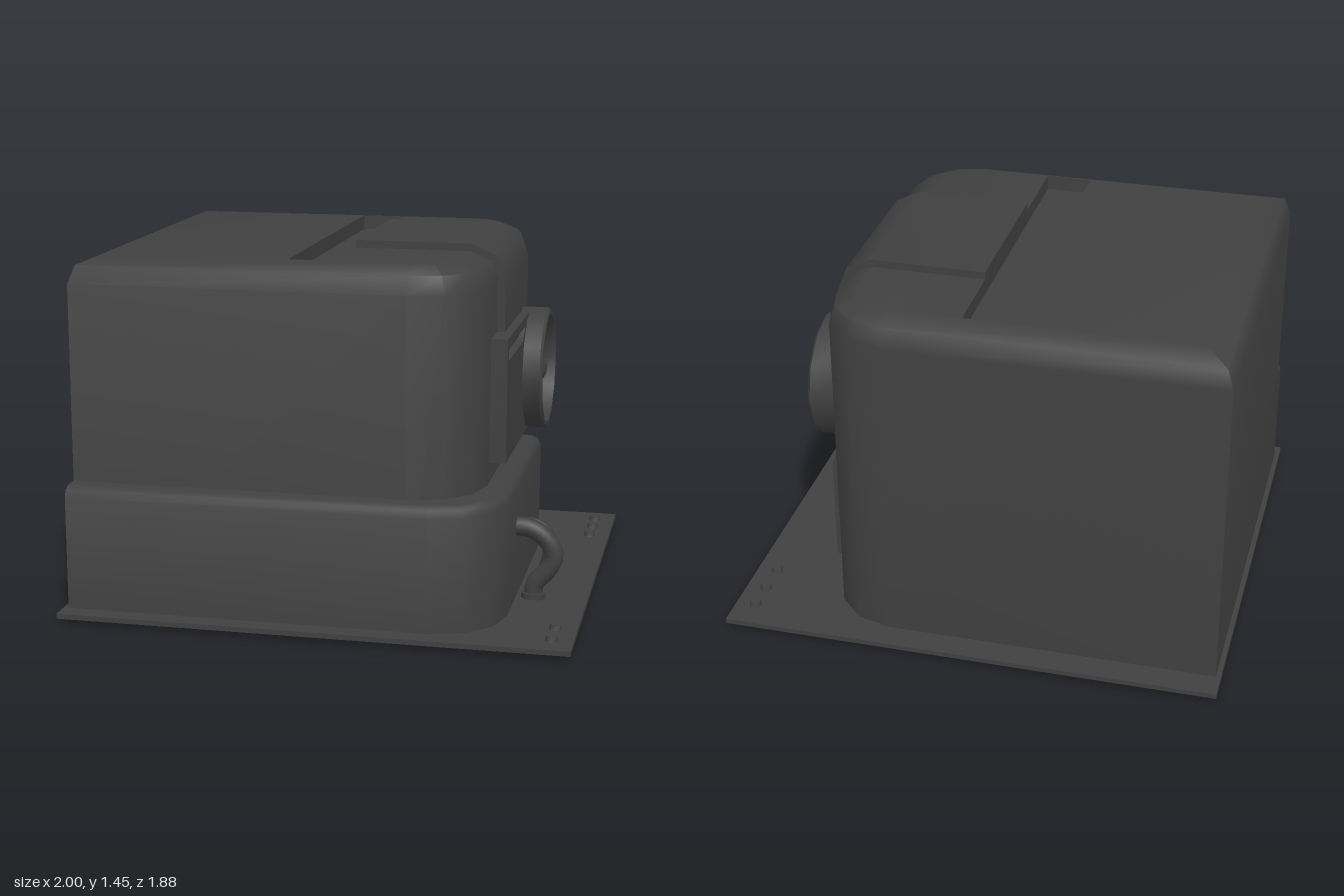
import * as THREE from 'three';
import { mergeGeometries, toCreasedNormals } from 'three/addons/utils/BufferGeometryUtils.js';

const material = new THREE.MeshStandardMaterial({ color: 0x404040 });

// Plan outline, counter-clockwise from above, as (x, -z); rb and rf round the back and front corners on +x
function outline(x0, x1, z0, z1, rb = 0, rf = 0) {
  const pts = [new THREE.Vector2(x0, -z1)];
  const corner = (r, cy, start) => {
    if (!r) return pts.push(new THREE.Vector2(x1, cy));
    for (let i = 0; i <= 3; i++) {
      const a = start + (i / 3) * Math.PI / 2;
      pts.push(new THREE.Vector2(x1 - r + r * Math.cos(a), cy + r * Math.sin(a)));
    }
  };
  corner(rf, -z1 + rf, -Math.PI / 2);
  corner(rb, -z0 - rb, 0);
  pts.push(new THREE.Vector2(x0, -z0));
  return pts;
}

// Walls joining outlines stacked at heights: [[y, points], ...]; stacked downward they face inward
function walls(rings) {
  const pos = [];
  for (let i = 0; i < rings.length - 1; i++) {
    const [y0, lo] = rings[i], [y1, hi] = rings[i + 1];
    lo.forEach((a, j) => {
      const k = (j + 1) % lo.length, b = lo[k], c = hi[k], d = hi[j];
      pos.push(a.x, y0, -a.y, b.x, y0, -b.y, c.x, y1, -c.y);
      pos.push(a.x, y0, -a.y, c.x, y1, -c.y, d.x, y1, -d.y);
    });
  }
  const g = new THREE.BufferGeometry();
  g.setAttribute('position', new THREE.Float32BufferAttribute(pos, 3));
  return g;
}

// Flat cap facing up or down, with an optional hole
function cap(points, y, up = true, hole) {
  const shape = new THREE.Shape(points);
  if (hole) shape.holes.push(new THREE.Path(hole));
  const g = new THREE.ShapeGeometry(shape).toNonIndexed();
  g.deleteAttribute('uv');
  g.deleteAttribute('normal');
  if (!up) {
    const p = g.attributes.position;
    for (let i = 0; i < p.count; i += 3) {
      const x = p.getX(i), v = p.getY(i);
      p.setXY(i, p.getX(i + 1), p.getY(i + 1));
      p.setXY(i + 1, x, v);
    }
  }
  return g.rotateX(-Math.PI / 2).translate(0, y, 0);
}

function extrude(points, depth, hole) {
  const shape = new THREE.Shape(points.map(p => new THREE.Vector2(...p)));
  if (hole) shape.holes.push(new THREE.Path(hole.map(p => new THREE.Vector2(...p))));
  return new THREE.ExtrudeGeometry(shape, { depth, bevelEnabled: false });
}

export function createModel() {
  const model = new THREE.Group();
  const add = (name, geometry, x = 0, y = 0, z = 0, crease = 0.9) => {
    const mesh = new THREE.Mesh(toCreasedNormals(geometry, crease), material);
    mesh.name = name;
    mesh.position.set(x, y, z);
    model.add(mesh);
    return mesh;
  };

  // Floor plate
  add('basePlate', new THREE.BoxGeometry(2, 0.02, 1.88), 0, 0.03, 0);

  // Main housing with rounded top and a long slot sunk into it
  const bodyRing = (i) => outline(-0.98 + i, 0.615 - i, -0.83 + i, 0.76 - i, 0.27 - i, 0.27 - i);
  const slot = outline(-0.135, 0.05, -0.715, 0.645);
  add('housing', mergeGeometries([
    walls([[0, bodyRing(0)], [1.31, bodyRing(0)], [1.38, bodyRing(0.025)], [1.415, bodyRing(0.11)]]),
    cap(bodyRing(0.11), 1.415, true, slot),
    walls([[1.415, slot], [1.355, slot]]),
    cap(slot, 1.355),
    cap(bodyRing(0), 0, false),
  ]));

  // Lower collar round the front
  const collarRing = (i) => outline(-0.98, 0.715 - i, -0.38, 0.86 - i, 0, 0.27 - i);
  add('lowerCollar', mergeGeometries([
    walls([[0, collarRing(0)], [0.49, collarRing(0)], [0.518, collarRing(0.012)], [0.53, collarRing(0.045)]]),
    cap(collarRing(0.045), 0.53),
    cap(collarRing(0), 0, false),
  ]));

  // Hood that folds over the top edge
  add('hood', extrude([[0.05, 1.36], [0.5, 1.36], [0.58, 1.28], [0.58, 0.98], [0.645, 0.98],
    [0.645, 1.31], [0.61, 1.4], [0.51, 1.445], [0.05, 1.445]], 0.67), 0, 0, -0.385);

  // Side panel with a narrow window; drawn in (-z, y) and turned to face +x
  const panel = extrude([[-0.44, 0.61], [0.25, 0.61], [0.25, 1.1], [-0.44, 1.1]], 0.08,
    [[-0.41, 1.01], [-0.41, 1.06], [0.06, 1.06], [0.01, 1.01]]);
  add('sidePanel', panel.rotateY(Math.PI / 2), 0.6, 0, 0);
  add('windowBack', new THREE.BoxGeometry(0.04, 0.06, 0.5), 0.625, 1.035, 0.18);
  add('windowBar', new THREE.BoxGeometry(0.04, 0.018, 0.45), 0.64, 1.035, 0.19);

  // Twelve-sided dial with a raised rim and domed hub
  const dial = new THREE.LatheGeometry([[0, 0], [0.257, 0], [0.257, 0.15], [0.247, 0.16], [0.23, 0.16],
    [0.212, 0.11], [0, 0.11]].map(p => new THREE.Vector2(...p)), 12);
  add('dial', dial.rotateZ(-Math.PI / 2), 0.6, 0.855, -0.25, 0.6);
  const hub = new THREE.SphereGeometry(0.06, 14, 6, 0, Math.PI * 2, 0, Math.PI / 2);
  add('dialHub', hub.scale(1, 0.7, 1).rotateZ(-Math.PI / 2), 0.708, 0.855, -0.25);

  // Pipes running from the collar down into the plate, each with a foot flange
  const pipe = (name, points, r) => {
    const curve = new THREE.CatmullRomCurve3(points.map(p => new THREE.Vector3(...p)));
    add(name, new THREE.TubeGeometry(curve, 18, r, 10));
    const [x, , z] = points[points.length - 1];
    add(name + 'Flange', new THREE.CylinderGeometry(r * 1.3, r * 1.3, 0.025, 10), x, 0.05, z);
  };
  pipe('largePipe', [[0.69, 0.33, 0.335], [0.77, 0.325, 0.335], [0.84, 0.275, 0.335], [0.865, 0.21, 0.335],
    [0.83, 0.145, 0.335], [0.79, 0.1, 0.335], [0.785, 0.03, 0.335]], 0.038);
  [[0.242, 0.215], [0.12, 0.15]].forEach(([zTop, zFoot], i) => {
    pipe('smallPipe' + (i + 1), [[0.69, 0.285, zTop], [0.77, 0.283, zTop], [0.82, 0.24, zTop],
      [0.825, 0.18, zTop], [0.8, 0.11, zFoot], [0.785, 0.03, zFoot]], 0.02);
  });

  // Plate bolts
  [-0.82, -0.7, -0.57, 0.7, 0.835].forEach((z, i) =>
    add('bolt' + (i + 1), new THREE.CylinderGeometry(0.02, 0.026, 0.022, 8), 0.917, 0.05, z));

  return model;
}
